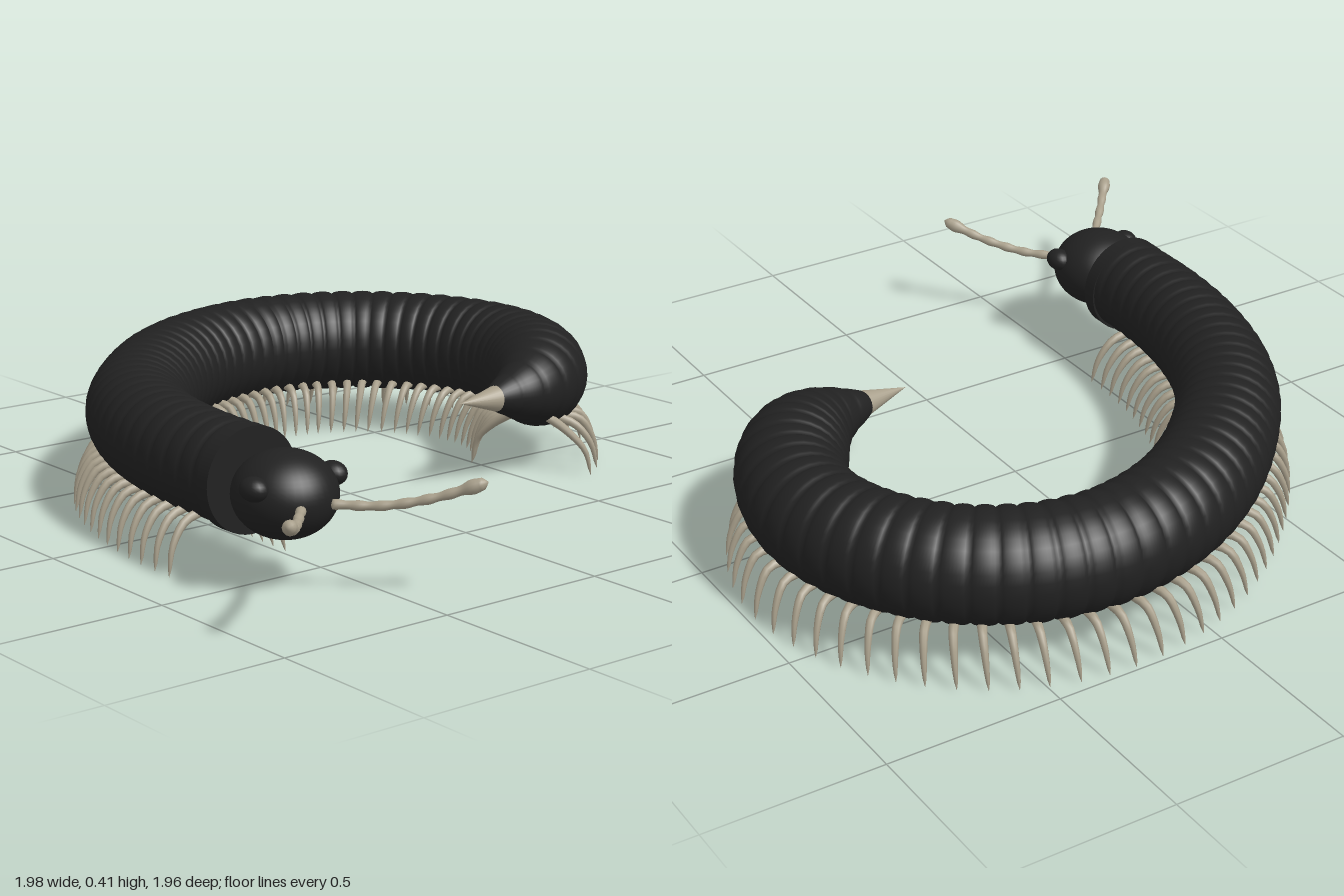
import * as THREE from 'three';
import { mergeVertices } from 'three/addons/utils/BufferGeometryUtils.js';

const shell = new THREE.MeshStandardMaterial({ color: 0x212121 });
shell.name = 'black shell';
const horn = new THREE.MeshStandardMaterial({ color: 0xa89f8b });
horn.name = 'pale horn';

const curveThrough = (pts) => new THREE.CatmullRomCurve3(pts.map((p) => new THREE.Vector3(...p)), false, 'centripetal');

// Tube along a curve whose radius follows radiusAt(u)
function sweep(curve, radiusAt, steps, sides) {
  const { normals, binormals } = curve.computeFrenetFrames(steps, false);
  const pos = [], index = [];
  for (let i = 0; i <= steps; i++) {
    const c = curve.getPointAt(i / steps), r = radiusAt(i / steps);
    for (let j = 0; j < sides; j++) {
      const a = (j / sides) * Math.PI * 2;
      const p = c.clone().addScaledVector(normals[i], r * Math.cos(a)).addScaledVector(binormals[i], r * Math.sin(a));
      pos.push(p.x, p.y, p.z);
      if (i < steps) {
        const k = i * sides + j, n = i * sides + ((j + 1) % sides);
        index.push(k, n, k + sides, n, n + sides, k + sides);
      }
    }
  }
  const g = new THREE.BufferGeometry();
  g.setAttribute('position', new THREE.Float32BufferAttribute(pos, 3));
  g.setIndex(index);
  const merged = mergeVertices(g, 1e-5);
  merged.computeVertexNormals();
  return merged;
}

export function createModel() {
  const model = new THREE.Group();
  model.name = 'millipede';
  const add = (name, geometry, material, parent = model) => {
    const m = new THREE.Mesh(geometry, material);
    m.name = name;
    parent.add(m);
    return m;
  };

  // Curled centre line from neck to tail
  const Y = 0.255;
  const spine = curveThrough([
    [0.42, 0.67], [0.2, 0.665], [0, 0.635], [-0.2, 0.57], [-0.36, 0.48], [-0.51, 0.35], [-0.64, 0.2],
    [-0.735, 0.04], [-0.79, -0.13], [-0.802, -0.27], [-0.765, -0.44], [-0.66, -0.61], [-0.48, -0.743],
    [-0.27, -0.795], [-0.075, -0.755], [0.075, -0.65], [0.153, -0.53], [0.182, -0.385],
  ].map(([x, z]) => [x, Y, z]));
  spine.arcLengthDivisions = 800;
  const length = spine.getLength();

  // Ringed body: rounded segments, tapering to the tail
  const rings = 52;
  const baseRadius = (u) => {
    const taper = Math.sin(Math.min(1, ((1 - u) * length) / 0.4) * Math.PI / 2);
    const girth = 0.138 + 0.016 * Math.min(1, (u * length) / 1.2);
    return 0.037 + (girth - 0.037) * taper;
  };
  const bodyRadius = (u) => {
    const f = (u * rings) % 1;
    return baseRadius(u) * (0.95 + 0.05 * Math.sqrt(Math.sin(Math.PI * f) + 1e-6));
  };
  add('body', sweep(spine, bodyRadius, rings * 8, 32), shell);

  // Neck collar
  const collar = add('collar', new THREE.CylinderGeometry(0.143, 0.143, 0.045, 40), shell);
  collar.rotation.z = Math.PI / 2;
  collar.position.set(0.413, 0.25, 0.67);

  // Tail spike
  const end = spine.getPointAt(1), endDir = spine.getTangentAt(1);
  const spike = add('tailSpike', new THREE.ConeGeometry(0.038, 0.14, 24), horn);
  endDir.set(0.05, 0.05, 1).normalize();
  spike.quaternion.setFromUnitVectors(new THREE.Vector3(0, 1, 0), endDir);
  spike.position.copy(end).addScaledVector(endDir, 0.067);

  // Head and eyes
  const head = new THREE.Group();
  head.name = 'head';
  head.position.set(0.572, 0.245, 0.67);
  model.add(head);
  add('skull', new THREE.SphereGeometry(1, 40, 28), shell, head).scale.set(0.141, 0.115, 0.137);
  for (const side of [-1, 1]) {
    const eye = add(side > 0 ? 'rightEye' : 'leftEye', new THREE.SphereGeometry(1, 20, 14), shell, head);
    eye.scale.set(0.043, 0.032, 0.035);
    eye.position.set(0.037, 0.04, side * 0.124);

    // Beaded antenna with a clubbed tip
    const path = curveThrough([
      [0.125, -0.008, side * 0.045], [0.22, -0.007, side * 0.133], [0.32, 0.02, side * 0.222], [0.42, 0.067, side * 0.308],
    ]);
    const thick = (u) => (u === 0 || u === 1 ? 0
      : 0.0125 + 0.0015 * Math.sin(u * Math.PI * 14) + 0.006 * Math.exp(-(((u - 0.92) / 0.09) ** 2)) - (u > 0.97 ? 0.006 : 0));
    add(side > 0 ? 'rightAntenna' : 'leftAntenna', sweep(path, thick, 56, 12), horn, head);
  }

  // Legs: one curved, tapering pair under each segment
  const legs = new THREE.Group();
  legs.name = 'legs';
  model.add(legs);
  const pairs = 50, first = 0.115 / length, last = 1 - 0.19 / length;
  for (let i = 0; i < pairs; i++) {
    const u = first + ((last - first) * i) / (pairs - 1);
    const c = spine.getPointAt(u), t = spine.getTangentAt(u), r = baseRadius(u);
    for (const side of [-1, 1]) {
      const at = (out, y, fwd) => [c.x - t.z * side * out - t.x * fwd, y, c.z + t.x * side * out - t.z * fwd];
      const path = curveThrough([
        at(r * 0.5, Y - r * 0.75, 0), at(r * 0.5 + 0.055, 0.132, 0.004), at(0.168, 0.075, 0.012), at(0.186, 0, 0.02),
      ]);
      add(side > 0 ? 'rightLeg' : 'leftLeg', sweep(path, (v) => 0.0135 * Math.sqrt(1 - v) + 0.0005, 10, 8), horn, legs);
    }
  }
  return model;
}
